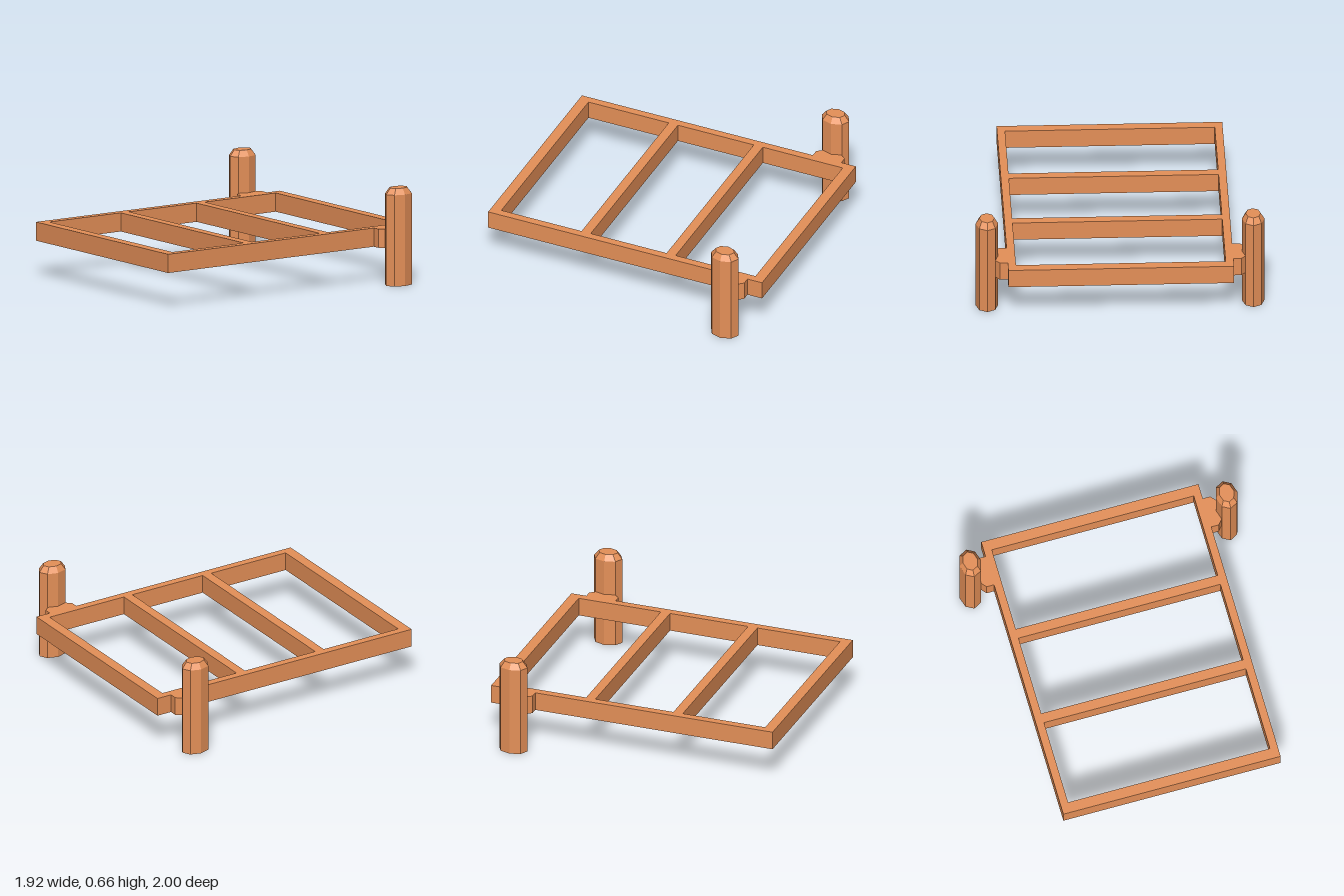
import * as THREE from 'three';

const wood = new THREE.MeshStandardMaterial({ color: 0xe59058, flatShading: true });
const RAIL_BOTTOM = 0.246, RAIL_HEIGHT = 0.126;
const POST_X = 0.885, POST_Z = -0.79;

// Closed outline from [x, z] corners
function outline(points, Type = THREE.Shape) {
  return new Type(points.map(([x, z]) => new THREE.Vector2(x, -z)));
}

function rectangle(x, z0, z1) {
  return [[-x, z0], [x, z0], [x, z1], [-x, z1]];
}

// Plan outline raised to the height of the rails
function slab(name, shape) {
  const geometry = new THREE.ExtrudeGeometry(shape, { depth: RAIL_HEIGHT, bevelEnabled: false });
  geometry.rotateX(-Math.PI / 2).translate(0, RAIL_BOTTOM, 0);
  const mesh = new THREE.Mesh(geometry, wood);
  mesh.name = name;
  return mesh;
}

export function createModel() {
  const model = new THREE.Group();
  model.name = 'bedFrame';

  // Rectangular frame with two crossbars; the three openings wind opposite to the outside
  const frame = outline(rectangle(0.75, -1, 1));
  for (const [front, back] of [[-0.345, -0.928], [0.275, -0.279], [0.928, 0.342]]) {
    frame.holes.push(outline(rectangle(0.697, front, back), THREE.Path));
  }
  model.add(slab('frame', frame));

  for (const [side, label] of [[1, 'left'], [-1, 'right']]) {
    // Bracket tapering from the side rail into the post
    const corners = [[0.75, -0.104], [0.802, -0.104], [0.832, -0.068],
      [0.832, 0.068], [0.802, 0.104], [0.75, 0.104]];
    model.add(slab(label + 'Bracket', outline(corners.map(([x, z]) => [side * x, z + POST_Z]))));

    // Oval eight-sided post with a chamfered top
    const profile = [[0, 0], [1, 0], [1, 0.616], [0.67, 0.657], [0, 0.657]];
    const geometry = new THREE.LatheGeometry(profile.map(([r, y]) => new THREE.Vector2(r, y)), 8);
    geometry.scale(0.075, 1, 0.1);
    const post = new THREE.Mesh(geometry, wood);
    post.name = label + 'Post';
    post.position.set(side * POST_X, 0, POST_Z);
    model.add(post);
  }
  return model;
}
